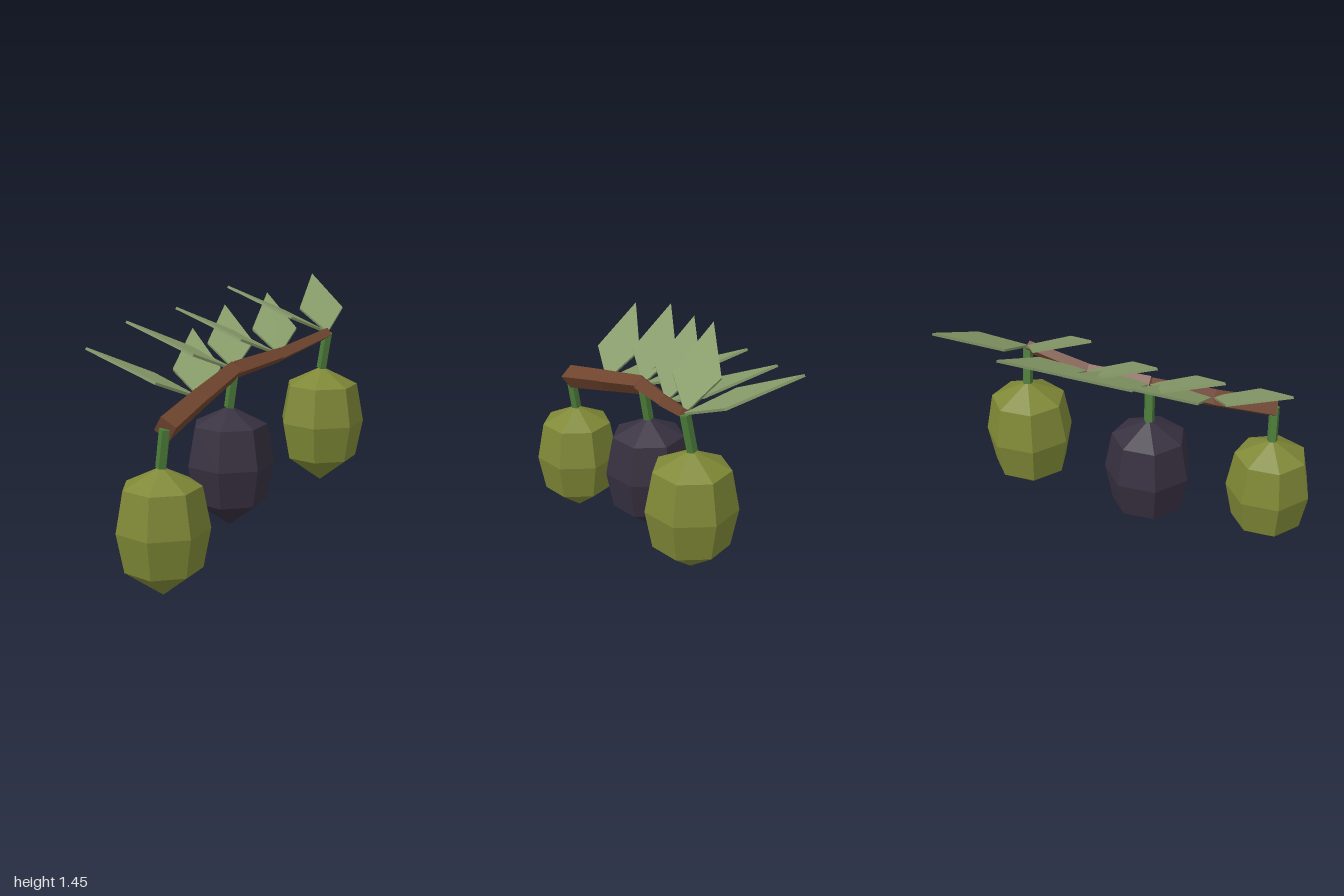
import * as THREE from 'three';

const V = (x, y, z) => new THREE.Vector3(x, y, z);
const mat = (name, color) => {
  const m = new THREE.MeshStandardMaterial({ color, flatShading: true });
  m.name = name;
  return m;
};

export function createModel() {
  const group = new THREE.Group();
  const bark = mat('bark brown', 0x70452f);
  const leafGreen = mat('leaf green', 0x869a68);
  const stemGreen = mat('stem green', 0x4d7c3a);
  const ripeGreen = mat('olive green', 0x7f8836);
  const darkPurple = mat('dark purple', 0x373040);

  const add = (name, geometry, material, parent = group) => {
    const mesh = new THREE.Mesh(geometry, material);
    mesh.name = name;
    parent.add(mesh);
    return mesh;
  };

  // Tapered rod between two points
  const rod = (name, a, b, ra, rb, sides, material) => {
    const dir = b.clone().sub(a);
    const mesh = add(name, new THREE.CylinderGeometry(rb, ra, dir.length(), sides), material);
    mesh.position.copy(a).add(b).multiplyScalar(0.5);
    mesh.quaternion.setFromUnitVectors(V(0, 1, 0), dir.normalize());
  };

  // Bent, four-sided branch
  const joints = [
    V(-0.77, 0.875, 0.155), V(-0.43, 0.96, 0.085), V(-0.09, 1.05, 0.035),
    V(0.25, 1.09, 0.08), V(0.59, 1.18, 0.165),
  ];
  const radii = [0.067, 0.06, 0.052, 0.043, 0.033];
  for (let i = 0; i < 4; i++) {
    rod('branchSegment', joints[i], joints[i + 1], radii[i], radii[i + 1], 4, bark);
  }

  // Seven-sided fruits, each hanging from a stem
  const profile = [[0, -0.36], [0.205, -0.21], [0.246, 0], [0.205, 0.217], [0, 0.318]]
    .map(([r, y]) => new THREE.Vector2(r, y));
  const fruitGeometry = new THREE.LatheGeometry(profile, 7, Math.PI / 2);
  const fruits = [
    [V(-0.77, 0.363, 0.125), joints[0], ripeGreen],
    [V(-0.09, 0.533, 0), joints[2], darkPurple],
    [V(0.595, 0.662, 0.125), joints[4], ripeGreen],
  ];
  for (const [centre, joint, material] of fruits) {
    add('fruit', fruitGeometry, material).position.copy(centre);
    rod('fruitStem', centre.clone().add(V(0, 0.31, 0)), joint, 0.03, 0.03, 5, stemGreen);
  }

  // Thin kite-shaped leaf, lying along +y from its base
  const length = 0.633, half = 0.127, thick = 0.014;
  const kite = new THREE.Shape();
  kite.moveTo(0, 0);
  kite.lineTo(half, length * 0.4);
  kite.lineTo(0, length);
  kite.lineTo(-half, length * 0.4);
  kite.closePath();
  const leafGeometry = new THREE.ExtrudeGeometry(kite, { depth: thick, bevelEnabled: false });
  leafGeometry.translate(0, 0, -thick / 2);

  // A mirrored pair of leaves at every joint but the first
  for (const joint of joints.slice(1)) {
    for (const side of [-1, 1]) {
      const along = V(side * 0.405, 0.27, -0.405).normalize();
      const across = V(0.707, 0, side * 0.707).multiplyScalar(1).normalize();
      const normal = across.clone().cross(along);
      const leaf = add(side > 0 ? 'leftLeaf' : 'rightLeaf', leafGeometry, leafGreen);
      leaf.quaternion.setFromRotationMatrix(new THREE.Matrix4().makeBasis(across, along, normal));
      leaf.position.copy(joint);
    }
  }

  return group;
}
